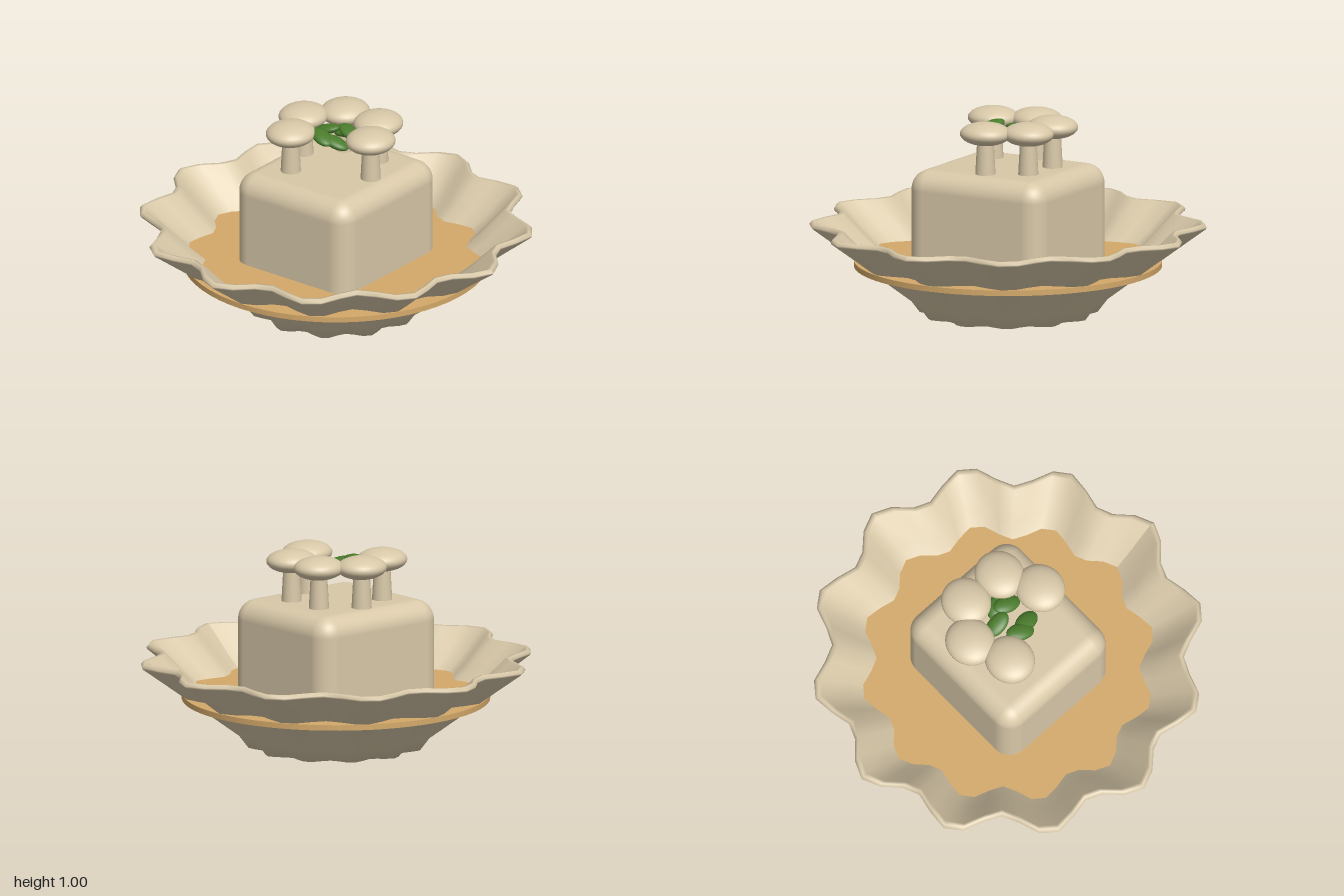
import * as THREE from 'three';
import { RoundedBoxGeometry } from 'three/addons/geometries/RoundedBoxGeometry.js';

const cream = new THREE.MeshStandardMaterial({ name: 'cream', color: 0xd8c8a8, side: THREE.DoubleSide });
const tan = new THREE.MeshStandardMaterial({ name: 'tan', color: 0xd4a96a });
const green = new THREE.MeshStandardMaterial({ name: 'leafGreen', color: 0x4a7c2c });

function addMesh(parent, name, geometry, material, x = 0, y = 0, z = 0) {
  const mesh = new THREE.Mesh(geometry, material);
  mesh.name = name;
  mesh.position.set(x, y, z);
  parent.add(mesh);
  return mesh;
}

// Lathe whose radius swells into twelve lobes around the axis
function flutedBowl() {
  const profile = [
    [0, 0], [0.25, 0], [0.45, 0], [0.5, 0.065], [0.67, 0.19], [0.84, 0.315], [0.995, 0.427],
    [1, 0.437], [0.985, 0.453], [0.965, 0.45],
    [0.82, 0.32], [0.65, 0.19], [0.48, 0.08], [0.42, 0.03], [0, 0.03],
  ].map(([r, y]) => new THREE.Vector2(r, y));
  const geometry = new THREE.LatheGeometry(profile, 64);
  const p = geometry.attributes.position;
  for (let i = 0; i < p.count; i++) {
    const angle = Math.atan2(p.getX(i), p.getZ(i));
    const k = 0.94 + 0.06 * Math.cos(12 * angle);
    p.setXYZ(i, p.getX(i) * k, p.getY(i), p.getZ(i) * k);
  }
  geometry.computeVertexNormals();
  return geometry;
}

export function createModel() {
  const model = new THREE.Group();
  model.name = 'servedDish';

  addMesh(model, 'flutedBowl', flutedBowl(), cream);
  addMesh(model, 'brothDisc', new THREE.CylinderGeometry(0.772, 0.772, 0.028, 64), tan, 0, 0.25, 0);
  addMesh(model, 'roundedBlock', new RoundedBoxGeometry(0.78, 0.6, 0.72, 6, 0.1), cream, 0, 0.44, 0);

  // Ring of mushrooms: tapered stem and flattened cap
  const stem = new THREE.CylinderGeometry(0.04, 0.052, 0.22, 20);
  const cap = new THREE.SphereGeometry(1, 32, 20).scale(0.13, 0.058, 0.122);
  const spots = [[-0.175, -0.15], [0.03, -0.23], [0.2, -0.1], [0.19, 0.12], [0, 0.22]];
  spots.forEach(([x, z]) => {
    const mushroom = new THREE.Group();
    mushroom.name = 'mushroom';
    mushroom.position.set(x, 0, z);
    addMesh(mushroom, 'stem', stem, cream, 0, 0.83, 0);
    addMesh(mushroom, 'cap', cap, cream, 0, 0.944, 0);
    model.add(mushroom);
  });

  // Small leaves between the caps: x, y, z, turn, tilt
  const leaf = new THREE.SphereGeometry(1, 20, 14).scale(0.046, 0.024, 0.075);
  const leaves = [
    [-0.1, 0.935, -0.01, -0.4, 0.25], [-0.075, 0.915, 0.055, 0.15, 0.3],
    [0.01, 0.925, -0.065, 0.1, -0.3], [0.058, 0.92, 0.045, -0.25, 0.25],
    [0.09, 0.905, 0.01, 0.4, -0.2],
  ];
  leaves.forEach(([x, y, z, turn, tilt]) => {
    addMesh(model, 'leaf', leaf, green, x, y, z).rotation.set(tilt, turn, 0, 'YXZ');
  });

  return model;
}
